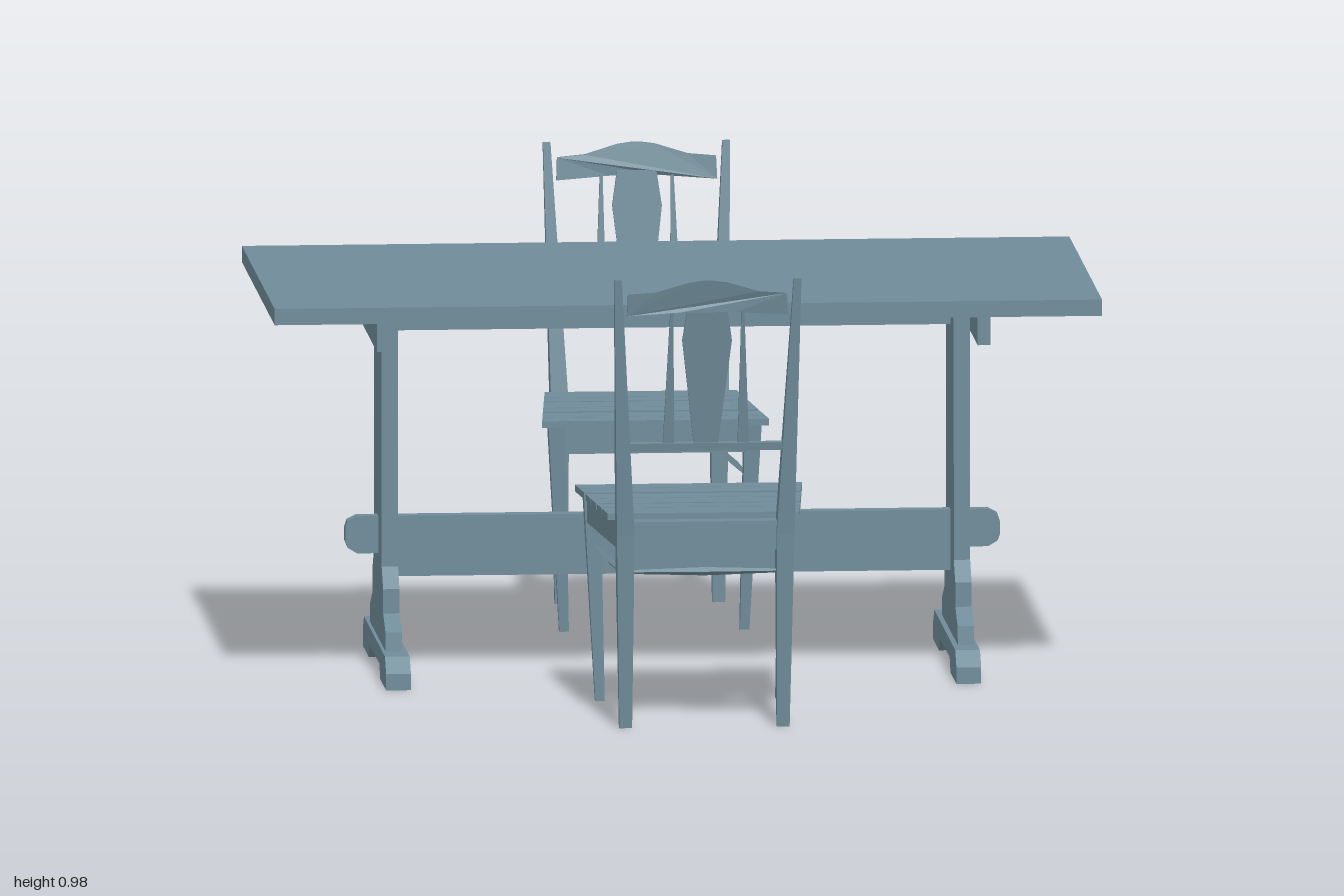
import * as THREE from 'three';

const mat = new THREE.MeshStandardMaterial({ color: 0x6f8c99, flatShading: true });

function add(parent, name, geo) {
  const mesh = new THREE.Mesh(geo, mat);
  mesh.name = name;
  parent.add(mesh);
  return mesh;
}

// Box given by its limits
function box(x0, x1, y0, y1, z0, z1) {
  return new THREE.BoxGeometry(x1 - x0, y1 - y0, z1 - z0)
    .translate((x0 + x1) / 2, (y0 + y1) / 2, (z0 + z1) / 2);
}

// Half outline mirrored in its first coordinate
function mirrored(half) {
  return [...half, ...half.slice().reverse().map(([a, b]) => [-a, b])];
}

// Board cut from an outline in x and y, centred on z = 0
function board(points, depth) {
  const shape = new THREE.Shape(points.map(([x, y]) => new THREE.Vector2(x, y)));
  return new THREE.ExtrudeGeometry(shape, { depth, bevelEnabled: false }).translate(0, 0, -depth / 2);
}

// Flat plate cut from an outline in x and z
function plate(points, y0, y1) {
  return board(points, y1 - y0).rotateX(Math.PI / 2).translate(0, (y0 + y1) / 2, 0);
}

// Tapered post through rectangular sections [y, x0, x1, z0, z1], lowest first
function taperedPost(sections, side) {
  const n = sections.length - 1;
  const geo = new THREE.BoxGeometry(1, 1, 1, 1, n, 1);
  const p = geo.attributes.position;
  for (let i = 0; i < p.count; i++) {
    const [y, x0, x1, z0, z1] = sections[Math.round((p.getY(i) + 0.5) * n)];
    const [a, b] = side > 0 ? [x0, x1] : [-x1, -x0];
    p.setXYZ(i, p.getX(i) < 0 ? a : b, y, p.getZ(i) < 0 ? z0 : z1);
  }
  geo.computeVertexNormals();
  return geo;
}

// Thin four-sided rod, thickest at the middle, between two points
function rod(from, to) {
  const a = new THREE.Vector3(...from), b = new THREE.Vector3(...to);
  const dir = b.clone().sub(a), h = dir.length() / 2;
  const profile = [[0, -h], [0.004, -h], [0.009, 0], [0.004, h], [0, h]];
  const geo = new THREE.LatheGeometry(profile.map(([r, y]) => new THREE.Vector2(r, y)), 4);
  geo.applyQuaternion(new THREE.Quaternion().setFromUnitVectors(new THREE.Vector3(0, 1, 0), dir.normalize()));
  return geo.translate(...a.add(b).multiplyScalar(0.5).toArray());
}

// Lean a chair back part along the slope of the back posts
function lean(geo, bow = 0) {
  const p = geo.attributes.position;
  for (let i = 0; i < p.count; i++) {
    p.setZ(i, p.getZ(i) + 0.938 + (p.getY(i) - 0.61) * 0.145 + bow * (1 - (p.getX(i) / 0.165) ** 2));
  }
  geo.computeVertexNormals();
  return geo;
}

function createTable() {
  const table = new THREE.Group();
  table.name = 'table';
  add(table, 'tableTop', box(-0.885, 0.885, 0.81, 0.845, -0.455, 0.455));
  add(table, 'topRail', box(-0.595, 0.595, 0.73, 0.81, -0.016, 0.016));

  // Long stretcher with tenons passing through the trestles
  add(table, 'stretcher', board(mirrored([
    [0.595, 0.2], [0.595, 0.25], [0.675, 0.25], [0.695, 0.262], [0.7, 0.275],
    [0.7, 0.305], [0.695, 0.32], [0.675, 0.33],
  ]), 0.034));

  // Trestle ends
  const post = mirrored([
    [0.22, 0.065], [0.215, 0.108], [0.15, 0.14], [0.15, 0.192], [0.108, 0.235], [0.105, 0.81],
  ]);
  const foot = mirrored([
    [0.135, 0.03], [0.16, 0], [0.325, 0], [0.325, 0.035], [0.29, 0.068],
  ]);
  for (const s of [-1, 1]) {
    const trestle = new THREE.Group();
    trestle.name = s > 0 ? 'leftTrestle' : 'rightTrestle';
    add(trestle, 'post', board(post, 0.035).rotateY(Math.PI / 2).translate(s * 0.612, 0, 0));
    add(trestle, 'foot', board(foot, 0.053).rotateY(Math.PI / 2).translate(s * 0.61, 0, 0));
    add(trestle, 'cleat', box(-0.0135, 0.0135, 0.73, 0.81, -0.325, 0.325).translate(s * 0.6425, 0, 0));
    table.add(trestle);
  }
  return table;
}

function createChair(name) {
  const chair = new THREE.Group();
  chair.name = name;
  for (const s of [-1, 1]) {
    add(chair, 'backLeg', taperedPost([
      [0, 0.155, 0.182, 0.885, 0.905],
      [0.42, 0.152, 0.19, 0.883, 0.938],
      [0.98, 0.184, 0.2, 0.985, 1],
    ], s));
    add(chair, 'frontLeg', taperedPost([
      [0, 0.183, 0.203, 0.487, 0.508],
      [0.445, 0.192, 0.228, 0.468, 0.512],
    ], s));
    const side = [[0.205, 0.5], [0.222, 0.5], [0.185, 0.89], [0.168, 0.89]];
    add(chair, 'sideApron', plate(side.map(([x, z]) => [s * x, z]), 0.385, 0.445));
    add(chair, 'sideStretcher', rod([s * 0.2, 0.331, 0.5], [s * 0.17, 0.331, 0.893]));
    // Slender back spindle, narrowing upward
    add(chair, 'backSpindle', lean(board([
      [s * 0.08 - 0.012, 0.618], [s * 0.08 + 0.012, 0.618], [s * 0.076 + 0.003, 0.91], [s * 0.076 - 0.003, 0.91],
    ], 0.01)));
  }
  add(chair, 'frontApron', box(-0.2, 0.2, 0.385, 0.445, 0.475, 0.492));
  add(chair, 'backApron', box(-0.16, 0.16, 0.385, 0.447, 0.888, 0.925));
  add(chair, 'backStretcher', rod([-0.165, 0.336, 0.9], [0.165, 0.336, 0.9]));

  // Seat slats, following the seat as it widens to the front
  const slats = [[0.455, 0.506], [0.51, 0.573], [0.595, 0.651], [0.656, 0.727], [0.738, 0.791], [0.796, 0.875]];
  const halfWidth = (z) => 0.243 - 0.09 * (z - 0.455);
  for (const [z0, z1] of slats) {
    const a = halfWidth(z0), b = halfWidth(z1);
    add(chair, 'seatSlat', plate([[-a, z0], [a, z0], [b, z1], [-b, z1]], 0.445, 0.459));
  }

  // Back: lower rail, shaped splat and crest
  add(chair, 'lowerBackRail', lean(box(-0.165, 0.165, 0.603, 0.62, -0.012, 0.012)));
  add(chair, 'backSplat', lean(board(mirrored([
    [0.026, 0.618], [0.053, 0.845], [0.042, 0.92],
  ]), 0.01)));
  add(chair, 'crestRail', lean(board(mirrored([
    [0.06, 0.908], [0.172, 0.9], [0.17, 0.948], [0.11, 0.953], [0.04, 0.974], [0.01, 0.978],
  ]), 0.01), 0.006));
  return chair;
}

export function createModel() {
  const model = new THREE.Group();
  model.name = 'diningSet';
  const rear = createChair('rearChair');
  rear.rotation.y = Math.PI;
  model.add(createTable(), createChair('frontChair'), rear);
  return model;
}
